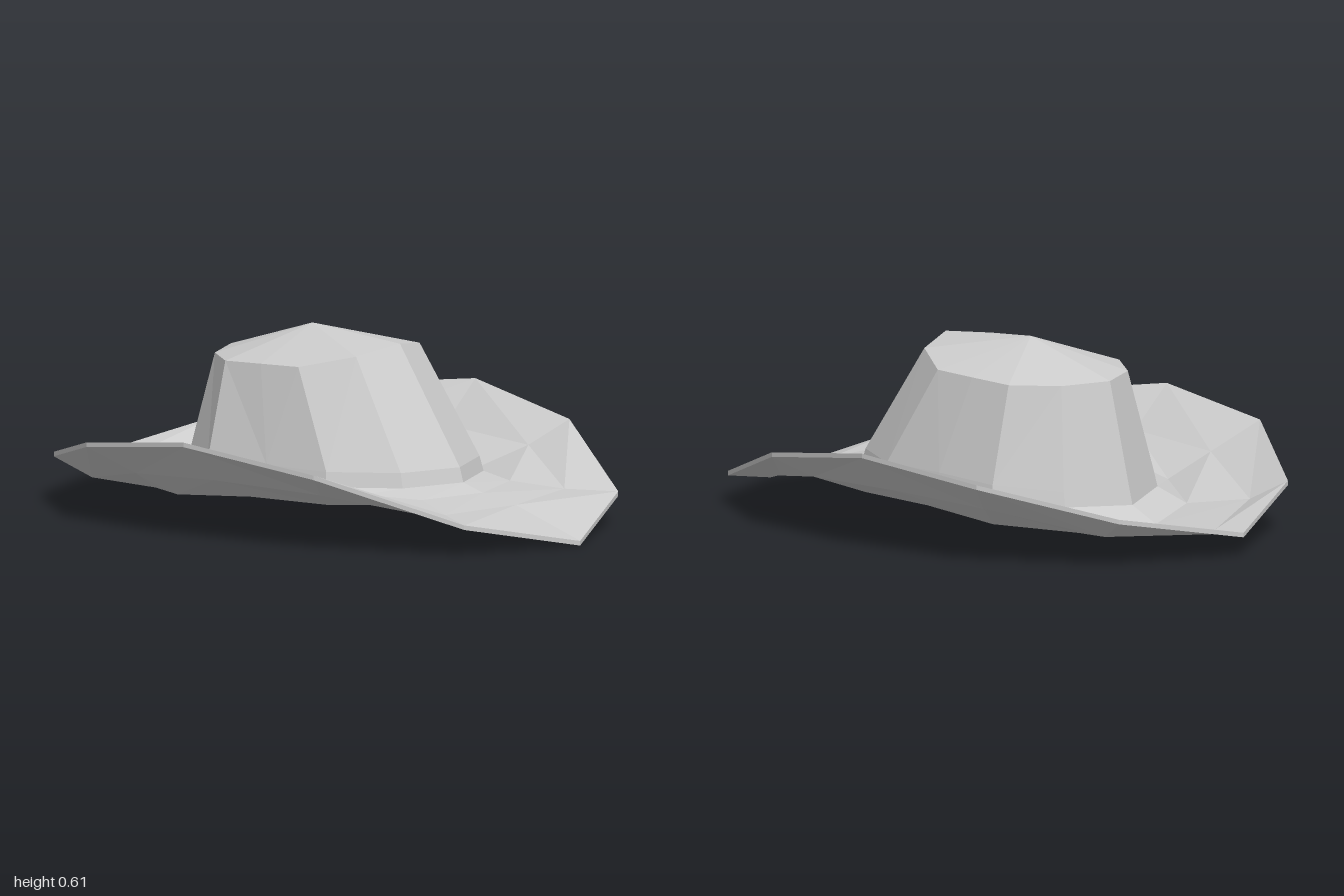
import * as THREE from 'three';

// Half rings run from the front (+z) round the left side (+x) to the back: [x, y, z]
const brimEdge = [[0, .016, 1], [.4, .105, .84], [.665, .26, .43], [.758, .33, -.03], [.705, .275, -.47], [.42, .165, -.83], [0, .08, -1]];
const brimMid = [[0, .105, .735], [.31, .11, .69], [.54, .185, .36], [.6, .2, -.03], [.565, .18, -.38], [.36, .1, -.72], [0, .075, -.88]];
const brimInner = [[0, .13, .6], [.23, .13, .53], [.385, .122, .27], [.42, .122, -.02], [.435, .1, -.31], [.27, .075, -.53], [0, .06, -.63]];
const crownBase = [[0, .155, .52], [.21, .155, .437], [.345, .155, .23], [.36, .155, -.01], [.37, .145, -.25], [.23, .125, -.44], [0, .11, -.53]];
const crownTop = [[0, .58, .26], [.165, .555, .21], [.275, .52, .06], [.28, .515, -.09], [.275, .508, -.24], [.165, .505, -.37], [0, .505, -.435]];
const apex = crownTop.map(() => [0, .61, -.1]);

// Scale a ring about the crown's axis and shift it vertically
const offset = (ring, s, dy) => ring.map(([x, y, z]) => [x * s, y + dy, -.05 + (z + .05) * s]);

// Skin a sequence of half rings, mirrored across x
function skin(name, rings, material) {
  const pos = [];
  const tri = (a, b, c) => {
    const [p, q, r] = [a, b, c].map(v => new THREE.Vector3(...v));
    if (q.sub(p).cross(r.sub(p)).length() < 1e-7) return;
    pos.push(...a, ...b, ...c);
    for (const [x, y, z] of [a, c, b]) pos.push(-x, y, z);
  };
  for (let r = 0; r < rings.length - 1; r++) {
    for (let i = 0; i < 6; i++) {
      const a = rings[r][i], b = rings[r][i + 1];
      const c = rings[r + 1][i + 1], d = rings[r + 1][i];
      // diagonals fan away from the front and back tips; reversed on the underside
      const under = name === 'brim' && r < 3;
      if ((i < 3) !== under) { tri(a, b, d); tri(b, c, d); }
      else { tri(a, b, c); tri(a, c, d); }
    }
  }
  const geometry = new THREE.BufferGeometry();
  geometry.setAttribute('position', new THREE.Float32BufferAttribute(pos, 3));
  geometry.computeVertexNormals();
  const mesh = new THREE.Mesh(geometry, material);
  mesh.name = name;
  return mesh;
}

export function createModel() {
  const group = new THREE.Group();
  group.name = 'hat';
  const material = new THREE.MeshStandardMaterial({ color: 0xcccccc, flatShading: true });
  const thick = .015;
  const bandTop = offset(crownBase, .975, .048);
  const lining = ring => offset(ring, .96, -thick);
  const under = ring => offset(ring, 1, -thick);

  // Brim: closed slab from the head opening out along the underside, back over the top
  group.add(skin('brim', [
    lining(crownBase), under(brimInner), under(brimMid), under(brimEdge),
    brimEdge, brimMid, brimInner, crownBase,
  ], material));

  // Narrow strip round the foot of the crown
  group.add(skin('band', [crownBase, bandTop], material));

  // Crown walls and peaked top
  group.add(skin('crown', [bandTop, crownTop, apex], material));

  // Hollow inside of the crown
  group.add(skin('lining', [apex, crownTop, bandTop, crownBase].map(lining), material));

  return group;
}
